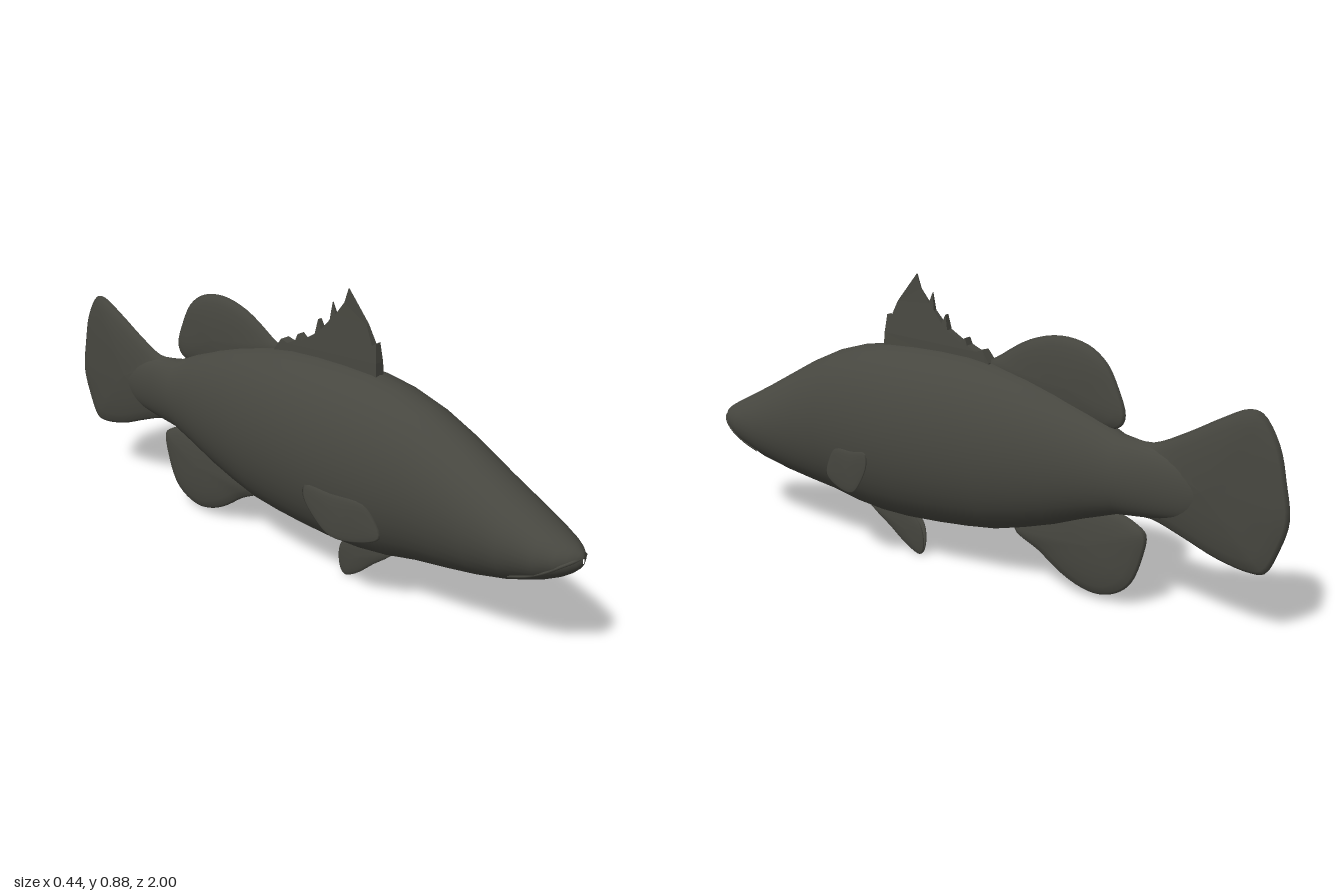
import * as THREE from 'three';

// Body stations from snout to tail root: z, top y, bottom y, half width
const STATIONS = [
  [1.0, 0.345, 0.325, 0.004], [0.993, 0.358, 0.31, 0.024], [0.975, 0.37, 0.292, 0.045],
  [0.95, 0.384, 0.275, 0.063], [0.9, 0.41, 0.25, 0.085], [0.8, 0.462, 0.215, 0.108],
  [0.7, 0.518, 0.192, 0.121], [0.6, 0.574, 0.176, 0.133], [0.5, 0.62, 0.163, 0.147],
  [0.4, 0.65, 0.143, 0.161], [0.3, 0.666, 0.132, 0.17], [0.2, 0.67, 0.13, 0.173],
  [0.1, 0.67, 0.135, 0.171], [0, 0.665, 0.143, 0.165], [-0.1, 0.65, 0.155, 0.155],
  [-0.2, 0.628, 0.18, 0.139], [-0.3, 0.598, 0.21, 0.12], [-0.4, 0.56, 0.247, 0.098],
  [-0.5, 0.512, 0.28, 0.073], [-0.6, 0.495, 0.288, 0.047], [-0.7, 0.47, 0.3, 0.03],
  [-0.8, 0.43, 0.34, 0.018], [-0.9, 0.39, 0.38, 0.002],
];

// Skins closed rings of [x, y, z] points into one smooth surface
function loft(rings) {
  const n = rings[0].length, index = [];
  for (let i = 0; i < rings.length - 1; i++) {
    for (let j = 0; j < n; j++) {
      const a = i * n + j, b = i * n + (j + 1) % n;
      index.push(a, a + n, b, b, a + n, b + n);
    }
  }
  const g = new THREE.BufferGeometry();
  g.setAttribute('position', new THREE.Float32BufferAttribute(rings.flat(2), 3));
  g.setIndex(index);
  g.computeVertexNormals();
  return g;
}

function bodyGeometry() {
  return loft(STATIONS.map(([z, top, bottom, w]) => {
    const ring = [];
    for (let j = 0; j < 36; j++) {
      const a = j / 36 * Math.PI * 2;
      ring.push([w * Math.cos(a), (top + bottom) / 2 + (top - bottom) / 2 * Math.sin(a), z]);
    }
    return ring;
  }));
}

// Half width of the body at a given z and y
function bodyX(z, y) {
  const i = Math.max(1, STATIONS.findIndex(s => s[0] <= z));
  const p = STATIONS[i - 1], q = STATIONS[i], t = (p[0] - z) / (p[0] - q[0]);
  const [top, bottom, w] = [1, 2, 3].map(k => p[k] + (q[k] - p[k]) * t);
  const d = (y - (top + bottom) / 2) / ((top - bottom) / 2);
  return w * Math.sqrt(Math.max(0, 1 - d * d));
}

// Lens-shaped fin: smooth [z, y] outline swelling to a half thickness at its centre
function finGeometry(outline, [cz, cy], thick, xAt = () => 0) {
  const curve = new THREE.CatmullRomCurve3(
    outline.map(([z, y]) => new THREE.Vector3(0, y, z)), true, 'centripetal');
  const pts = curve.getPoints(outline.length * 4).slice(0, -1);
  if (THREE.ShapeUtils.area(pts.map(p => new THREE.Vector2(-p.z, p.y))) < 0) pts.reverse();
  const rings = [];
  for (let i = 0; i <= 10; i++) {
    const t = i / 10 * Math.PI, s = Math.max(Math.sin(t), 0.001);
    rings.push(pts.map(p => {
      const z = cz + (p.z - cz) * s, y = cy + (p.y - cy) * s;
      return [xAt(z, y) + thick * Math.cos(t), y, z];
    }));
  }
  return loft(rings);
}

// Jagged front fin: flat plate thinning towards its spine tips
function spinyFinGeometry() {
  const outline = [
    [0.32, 0.6], [0.315, 0.7], [0.308, 0.755], [0.295, 0.745], [0.27, 0.8], [0.2, 0.888],
    [0.185, 0.845], [0.155, 0.805], [0.142, 0.838], [0.135, 0.785], [0.105, 0.75],
    [0.092, 0.778], [0.083, 0.733], [0.035, 0.703], [0.018, 0.718], [0.01, 0.697],
    [-0.02, 0.683], [-0.045, 0.69], [-0.07, 0.655], [-0.07, 0.6],
  ];
  const shape = new THREE.Shape(outline.map(([z, y]) => new THREE.Vector2(-z, y)));
  const g = new THREE.ExtrudeGeometry(shape, { depth: 2, bevelEnabled: false });
  g.translate(0, 0, -1).rotateY(Math.PI / 2);
  const p = g.attributes.position;
  for (let i = 0; i < p.count; i++) {
    const k = THREE.MathUtils.clamp((0.83 - p.getY(i)) / 0.18, 0, 1);
    p.setX(i, p.getX(i) * (0.002 + 0.018 * k));
  }
  g.computeVertexNormals();
  return g;
}

export function createModel() {
  const skin = new THREE.MeshStandardMaterial({ color: 0x474740 });
  skin.name = 'dark olive skin';
  const fish = new THREE.Group();
  fish.name = 'fish';
  const add = (name, geometry) => {
    const m = new THREE.Mesh(geometry, skin);
    m.name = name;
    fish.add(m);
  };

  add('body', bodyGeometry());
  add('spinyDorsalFin', spinyFinGeometry());

  add('softDorsalFin', finGeometry([
    [-0.05, 0.645], [-0.1, 0.682], [-0.2, 0.74], [-0.3, 0.763], [-0.39, 0.748], [-0.45, 0.705],
    [-0.487, 0.64], [-0.512, 0.565], [-0.5, 0.533], [-0.45, 0.515], [-0.3, 0.5], [-0.12, 0.57],
  ], [-0.33, 0.62], 0.024));

  add('analFin', finGeometry([
    [-0.15, 0.165], [-0.235, 0.112], [-0.315, 0.058], [-0.38, 0.03], [-0.44, 0.022],
    [-0.5, 0.04], [-0.545, 0.08], [-0.58, 0.17], [-0.588, 0.235], [-0.555, 0.262],
    [-0.49, 0.285], [-0.3, 0.29],
  ], [-0.41, 0.17], 0.024));

  add('tailFin', finGeometry([
    [-0.5, 0.5], [-0.6, 0.504], [-0.7, 0.55], [-0.8, 0.607], [-0.87, 0.64], [-0.91, 0.635],
    [-0.96, 0.56], [-0.985, 0.46], [-1.0, 0.36], [-0.98, 0.28], [-0.94, 0.2], [-0.9, 0.193],
    [-0.8, 0.212], [-0.7, 0.25], [-0.6, 0.284], [-0.5, 0.29],
  ], [-0.76, 0.4], 0.026));

  // Paired fins
  for (const [side, sign] of [['left', 1], ['right', -1]]) {
    add(side + 'PectoralFin', finGeometry([
      [0.45, 0.258], [0.435, 0.31], [0.4, 0.352], [0.31, 0.366], [0.235, 0.378], [0.23, 0.345],
      [0.265, 0.28], [0.31, 0.236], [0.39, 0.233],
    ], [0.34, 0.3], 0.006, z => sign * (0.152 + (0.43 - z) * 0.33)));

    add(side + 'PelvicFin', finGeometry([
      [0.39, 0.145], [0.31, 0.075], [0.245, 0.022], [0.2, 0.003], [0.185, 0.02], [0.181, 0.07],
      [0.195, 0.112], [0.25, 0.15],
    ], [0.25, 0.08], 0.008, (z, y) => sign * (0.002 + 0.08 * y)));
  }

  // Lip ridge running around the jaw
  const half = [[0.82, 0.25], [0.88, 0.272], [0.93, 0.3], [0.965, 0.324], [0.985, 0.336]];
  const lipPoints = [
    ...half.map(([z, y]) => new THREE.Vector3(bodyX(z, y) - 0.002, y, z)),
    new THREE.Vector3(0, 0.34, 0.994),
    ...half.map(([z, y]) => new THREE.Vector3(0.002 - bodyX(z, y), y, z)).reverse(),
  ];
  add('lip', new THREE.TubeGeometry(new THREE.CatmullRomCurve3(lipPoints), 40, 0.005, 8));

  return fish;
}
